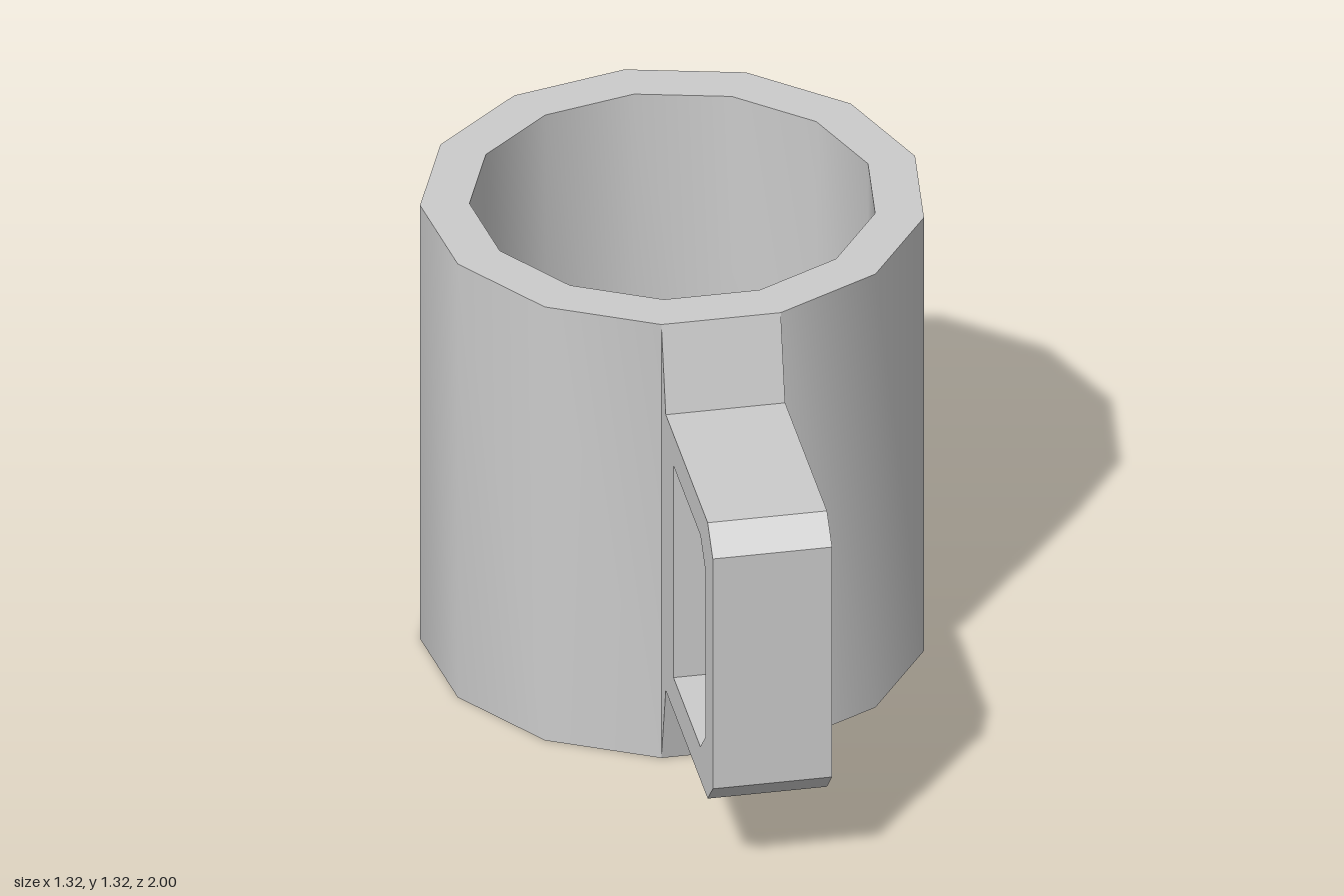
import * as THREE from 'three';
import { toCreasedNormals } from 'three/addons/utils/BufferGeometryUtils.js';

const SIDES = 13, RADIUS = 0.667, INNER = 0.537, HEIGHT = 1.32, FLOOR = 0.13;
const START = -0.0085; // slight turn of the first corner
const vectors = (points) => points.map(([x, y]) => new THREE.Vector2(x, y));

export function createModel() {
  const mug = new THREE.Group();
  mug.name = 'mug';
  const material = new THREE.MeshStandardMaterial({ color: 0xcccccc });

  // Hollow thirteen-sided cup: smooth walls, sharp rim and base
  const profile = vectors([
    [0, 0], [RADIUS, 0], [RADIUS, HEIGHT], [INNER, HEIGHT], [INNER, FLOOR], [0, FLOOR],
  ]);
  const cupGeometry = new THREE.LatheGeometry(profile, SIDES, START, Math.PI * 2);
  const cup = new THREE.Mesh(toCreasedNormals(cupGeometry, 0.6), material);
  cup.name = 'cup';
  mug.add(cup);

  // Handle grown out of one wall panel: x is distance out from the panel
  const outline = new THREE.Shape(vectors([
    [0, 0], [0.06, 0.24], [0.63, 0.24], [0.7, 0.31],
    [0.7, 1.01], [0.63, 1.08], [0.06, 1.08], [0, HEIGHT],
  ]));
  // Finger opening with chamfered outer corners
  outline.holes.push(new THREE.Path(vectors([
    [0.165, 0.34], [0.165, 0.985], [0.53, 0.985],
    [0.6, 0.915], [0.6, 0.41], [0.53, 0.34],
  ])));
  const width = 2 * RADIUS * Math.sin(Math.PI / SIDES);
  const handleGeometry = new THREE.ExtrudeGeometry(outline, { depth: width, bevelEnabled: false });
  handleGeometry.translate(RADIUS * Math.cos(Math.PI / SIDES), 0, -width / 2);
  const handle = new THREE.Mesh(handleGeometry, material);
  handle.name = 'handle';
  handle.rotation.y = START + Math.PI / SIDES - Math.PI / 2;
  mug.add(handle);

  mug.position.z = -0.352;
  const model = new THREE.Group();
  model.add(mug);
  return model;
}
